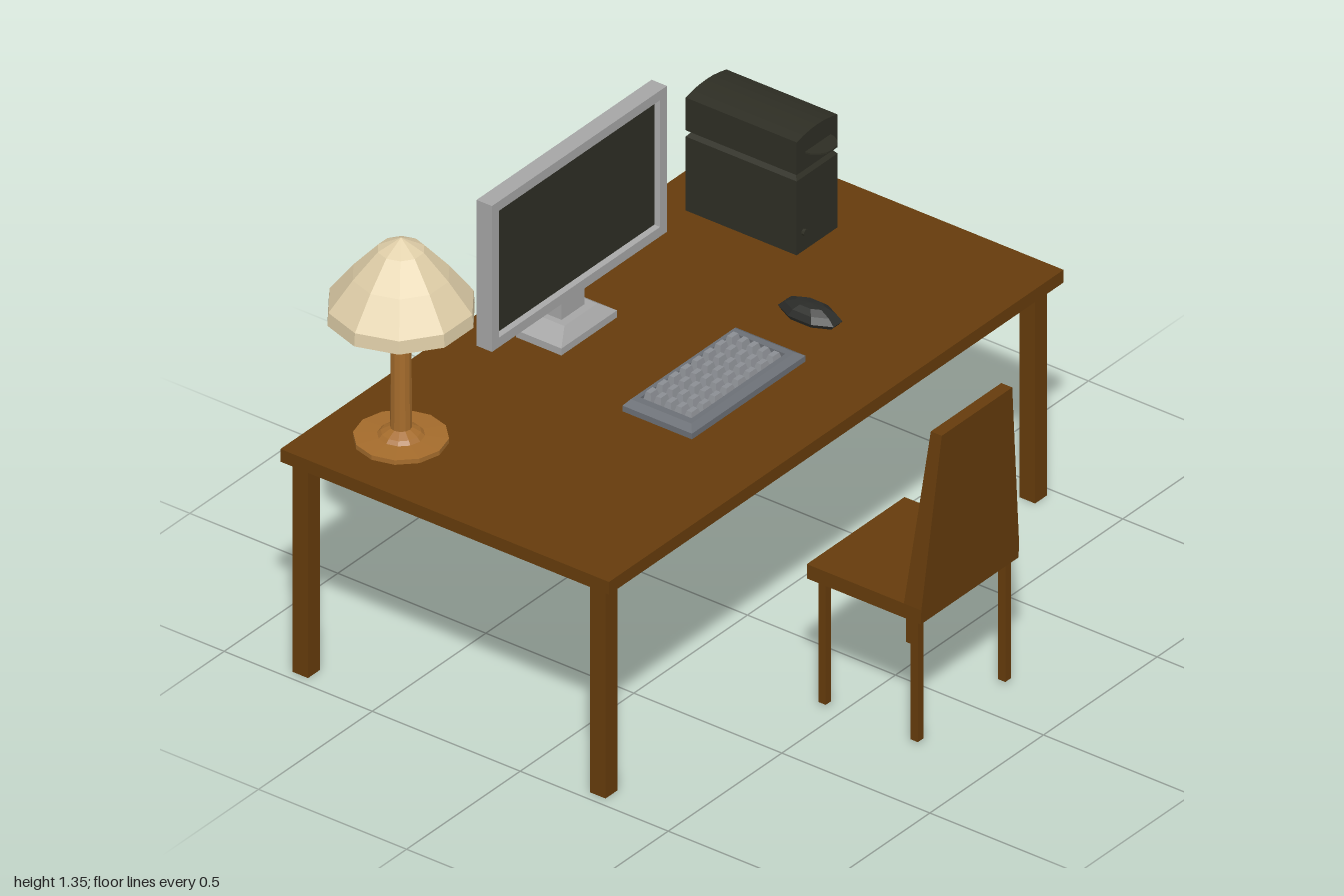
import * as THREE from 'three';

const mat = (name, color, extra = {}) =>
  Object.assign(new THREE.MeshStandardMaterial({ color, flatShading: true, ...extra }), { name });

// Closed solid through a stack of rectangles [y, x0, x1, z0, z1], lowest first
function loft(rings) {
  const p = [];
  const pts = rings.map(([y, x0, x1, z0, z1]) => [[x0, y, z1], [x1, y, z1], [x1, y, z0], [x0, y, z0]]);
  const quad = (a, b, c, d) => p.push(...a, ...b, ...c, ...a, ...c, ...d);
  for (let r = 0; r < pts.length - 1; r++) {
    for (let i = 0; i < 4; i++) {
      const j = (i + 1) % 4;
      quad(pts[r][i], pts[r][j], pts[r + 1][j], pts[r + 1][i]);
    }
  }
  const b = pts[0], t = pts[pts.length - 1];
  quad(b[3], b[2], b[1], b[0]);
  quad(...t);
  const g = new THREE.BufferGeometry();
  g.setAttribute('position', new THREE.Float32BufferAttribute(p, 3));
  g.computeVertexNormals();
  return g;
}

// Box from its extents
const block = (x0, x1, y0, y1, z0, z1) =>
  new THREE.BoxGeometry(x1 - x0, y1 - y0, z1 - z0).translate((x0 + x1) / 2, (y0 + y1) / 2, (z0 + z1) / 2);

const lathe = (profile, sides, start) =>
  new THREE.LatheGeometry(profile.map(([r, y]) => new THREE.Vector2(r, y)), sides, start);

export function createModel() {
  const model = new THREE.Group();
  model.name = 'deskWorkspace';
  const wood = mat('darkWood', 0x663c0c);
  const lampWood = mat('lampWood', 0xa56c2c);
  const fabric = mat('lampShade', 0xdfcea8, { side: THREE.DoubleSide });
  const silver = mat('silver', 0xa6a6a6);
  const grey = mat('keyboardGrey', 0x6c7076);
  const keyGrey = mat('keyGrey', 0x8c8f94);
  const black = mat('black', 0x2e2e24);
  const mouseBlack = mat('mouseBlack', 0x2a2b28);

  const group = (name) => {
    const g = new THREE.Group();
    g.name = name;
    model.add(g);
    return g;
  };
  const add = (parent, name, geo, material) => {
    const m = new THREE.Mesh(geo, material);
    m.name = name;
    parent.add(m);
    return m;
  };

  // Desk
  const desk = group('desk');
  add(desk, 'deskTop', block(-1, 1, 0.67, 0.71, -0.81, 0.3), wood);
  for (const x of [-0.945, 0.945])
    for (const z of [-0.765, 0.24])
      add(desk, 'deskLeg', block(x - 0.026, x + 0.026, 0, 0.67, z - 0.026, z + 0.026), wood);

  // Chair, facing the desk
  const chair = group('chair');
  add(chair, 'seat', block(-0.26, 0.17, 0.395, 0.44, 0.4, 0.75), wood);
  add(chair, 'backrest', loft([
    [0.395, -0.26, 0.17, 0.73, 0.785],
    [0.44, -0.26, 0.17, 0.728, 0.787],
    [0.97, -0.2, 0.11, 0.773, 0.81],
  ]), wood);
  for (const x of [-0.235, 0.15])
    for (const z of [0.442, 0.753])
      add(chair, 'chairLeg', block(x - 0.012, x + 0.012, 0.01, 0.395, z - 0.012, z + 0.012), wood);

  // Lamp
  const lamp = group('lamp');
  lamp.position.set(-0.765, 0, -0.583);
  add(lamp, 'lampStand', lathe([
    [0, 0.71], [0.13, 0.71], [0.13, 0.724], [0.065, 0.728], [0.055, 0.738], [0.03, 0.752],
    [0.028, 1.05], [0.05, 1.11], [0.05, 1.13], [0, 1.13],
  ], 12, 0), lampWood);
  add(lamp, 'lampShade', lathe([
    [0.206, 1.105], [0.203, 1.145], [0.135, 1.235], [0.065, 1.312], [0, 1.347],
  ], 10, Math.PI / 2), fabric);

  // Monitor: housing lofted back to front, then turned upright
  const monitor = group('monitor');
  add(monitor, 'monitorHousing', loft([
    [-0.635, -0.34, 0.25, -1.24, -0.9],
    [-0.585, -0.43, 0.34, -1.3, -0.84],
    [-0.533, -0.43, 0.34, -1.3, -0.84],
    [-0.533, -0.4, 0.31, -1.27, -0.87],
    [-0.547, -0.387, 0.297, -1.26, -0.88],
  ]).rotateX(Math.PI / 2), silver);
  add(monitor, 'screen', block(-0.387, 0.297, 0.88, 1.26, -0.548, -0.543), black);
  add(monitor, 'monitorNeck', block(-0.095, 0.005, 0.76, 0.9, -0.605, -0.555), silver);
  add(monitor, 'monitorBase', loft([
    [0.71, -0.165, 0.08, -0.655, -0.502],
    [0.732, -0.165, 0.08, -0.655, -0.502],
    [0.768, -0.115, 0.03, -0.625, -0.53],
  ]), silver);

  // Keyboard with a sunken key well
  const keyboard = group('keyboard');
  add(keyboard, 'keyboardCase', loft([
    [0.71, -0.29, 0.21, -0.2, 0.035],
    [0.728, -0.29, 0.21, -0.2, 0.035],
    [0.742, -0.268, 0.188, -0.188, 0.016],
    [0.742, -0.246, 0.166, -0.173, 0.0],
    [0.728, -0.246, 0.166, -0.173, 0.0],
  ]), grey);
  for (let r = 0; r < 5; r++) {
    for (let c = 0; c < 8; c++) {
      const x = -0.219 + c * 0.051, z = -0.156 + r * 0.0345, y = 0.758 - r * 0.002;
      add(keyboard, 'key', loft([
        [0.728, x - 0.021, x + 0.021, z - 0.014, z + 0.014],
        [y, x - 0.014, x + 0.014, z - 0.008, z + 0.008],
      ]), keyGrey);
    }
  }

  // Mouse: faceted dome stretched front to back
  const mouse = add(model, 'mouse', lathe([
    [0, 0], [0.95, 0], [1.06, 0.012], [0.85, 0.03], [0.5, 0.043], [0, 0.046],
  ], 8, Math.PI / 8), mouseBlack);
  mouse.scale.set(0.048, 1, 0.096);
  mouse.position.set(0.397, 0.71, -0.093);

  // Computer tower: lower case, waist groove and arched upper case
  const tower = group('computerTower');
  add(tower, 'lowerCase', loft([
    [0.712, 0.62, 0.8, -0.685, -0.31],
    [0.945, 0.62, 0.8, -0.685, -0.31],
    [0.957, 0.63, 0.79, -0.675, -0.32],
  ]), black);
  add(tower, 'waist', block(0.63, 0.79, 0.95, 0.972, -0.675, -0.32), black);
  const arch = new THREE.Shape();
  arch.moveTo(0.62, 0.965);
  arch.lineTo(0.8, 0.965);
  arch.lineTo(0.8, 1.068);
  arch.quadraticCurveTo(0.71, 1.094, 0.62, 1.068);
  arch.closePath();
  add(tower, 'upperCase', new THREE.ExtrudeGeometry(arch, { depth: 0.375, bevelEnabled: false, curveSegments: 6 })
    .translate(0, 0, -0.685), black);
  add(tower, 'discTray', new THREE.CylinderGeometry(0.058, 0.058, 0.005, 16)
    .translate(0.713, 1.018, -0.316), black);
  add(tower, 'powerButton', new THREE.CylinderGeometry(0.01, 0.01, 0.012, 8).rotateX(Math.PI / 2)
    .translate(0.65, 0.772, -0.307), black);

  return model;
}
